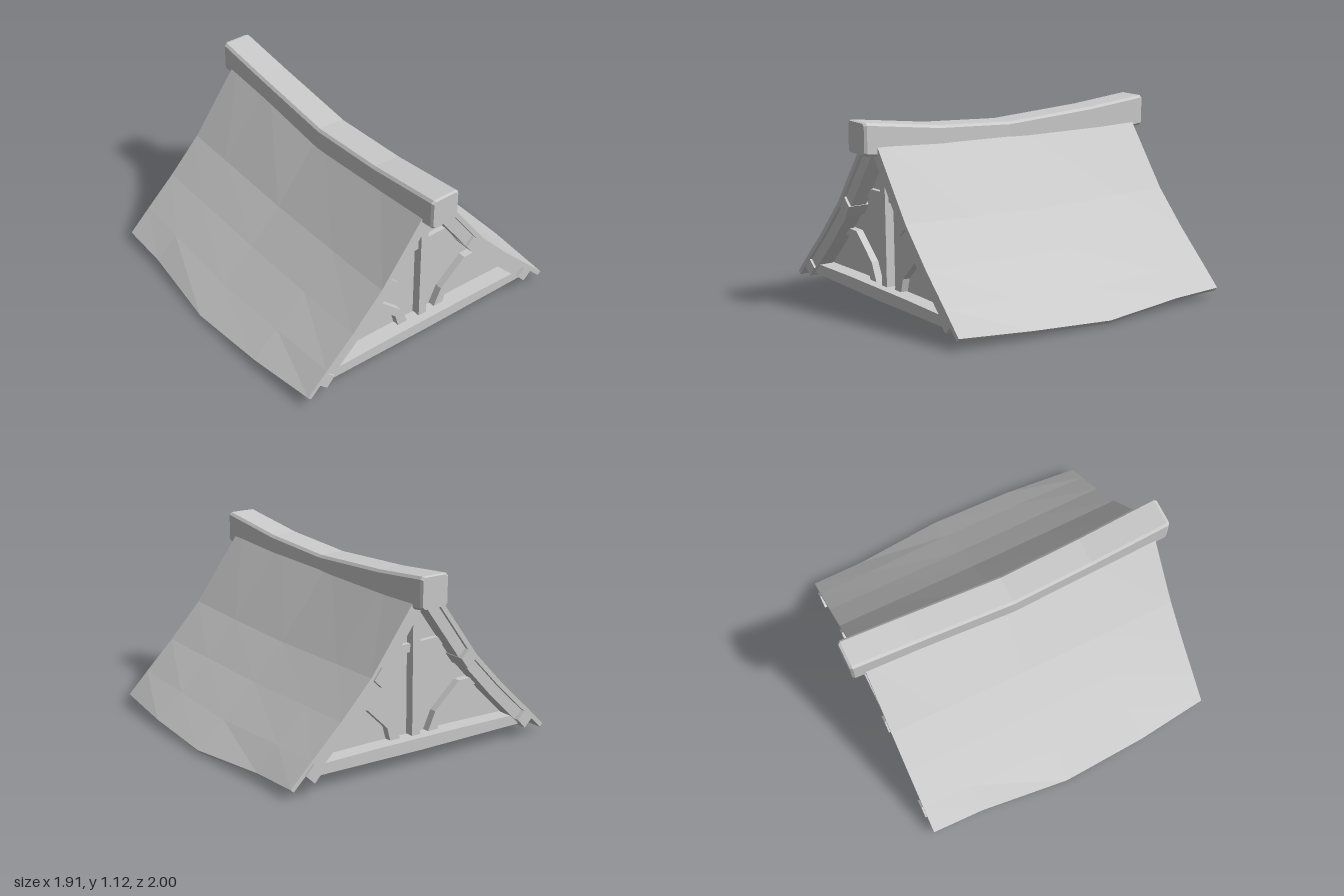
import * as THREE from 'three';

const grey = new THREE.MeshStandardMaterial({ color: 0xcccccc, flatShading: true });
grey.name = 'plain grey';

// Skin a list of { z, pts } outlines (z increasing) and cap both ends
function loft(name, sections) {
  const loops = sections.map(({ z, pts }) => {
    const v = pts.map(([x, y]) => new THREE.Vector2(x, y));
    if (THREE.ShapeUtils.isClockWise(v)) v.reverse();
    return { z, v };
  });
  const pos = [];
  const put = (loop, i) => pos.push(loop.v[i].x, loop.v[i].y, loop.z);
  const n = loops[0].v.length;
  for (let s = 0; s < loops.length - 1; s++) {
    const a = loops[s], b = loops[s + 1];
    for (let i = 0; i < n; i++) {
      const j = (i + 1) % n;
      put(a, i); put(a, j); put(b, j);
      put(a, i); put(b, j); put(b, i);
    }
  }
  const first = loops[0], last = loops[loops.length - 1];
  for (const [a, b, c] of THREE.ShapeUtils.triangulateShape(first.v, [])) {
    put(first, a); put(first, c); put(first, b);
  }
  for (const [a, b, c] of THREE.ShapeUtils.triangulateShape(last.v, [])) {
    put(last, a); put(last, b); put(last, c);
  }
  const geo = new THREE.BufferGeometry();
  geo.setAttribute('position', new THREE.Float32BufferAttribute(pos, 3));
  geo.computeVertexNormals();
  const mesh = new THREE.Mesh(geo, grey);
  mesh.name = name;
  return mesh;
}

// Straight prism of one outline between two depths
const prism = (name, pts, z0, z1) => loft(name, [{ z: z0, pts }, { z: z1, pts }]);
const mirrorX = (pts, side) => pts.map(([x, y]) => [x * side, y]);

// Shift a descending slope line inwards by d, stopping at the centre line
function inset(line, d) {
  return line.map((p, i) => {
    const a = line[Math.max(i - 1, 0)], b = line[Math.min(i + 1, line.length - 1)];
    const dx = b[0] - a[0], dy = b[1] - a[1], len = Math.hypot(dx, dy);
    const x = p[0] + (dy / len) * d, y = p[1] - (dx / len) * d;
    return x < 0 ? [0, y - (dy / dx) * x] : [x, y];
  });
}
const band = (line, d0, d1) => [...inset(line, d0), ...inset(line, d1).reverse()];

// Roof slope lines from ridge to eave, sagging towards the middle
const slopes = [
  { z: -0.92, line: [[0.03, 1.045], [0.37, 0.58], [0.57, 0.37], [0.76, 0.19], [0.895, 0.06]] },
  { z: -0.6, line: [[0.03, 1.03], [0.37, 0.575], [0.57, 0.367], [0.765, 0.185], [0.9, 0.05]] },
  { z: -0.05, line: [[0.03, 1.005], [0.37, 0.565], [0.57, 0.36], [0.78, 0.17], [0.955, 0.022]] },
  { z: 0.47, line: [[0.03, 1.025], [0.37, 0.575], [0.57, 0.367], [0.765, 0.19], [0.93, 0.047]] },
  { z: 0.92, line: [[0.03, 1.055], [0.37, 0.59], [0.57, 0.375], [0.75, 0.2], [0.88, 0.07]] },
];
const rafterLine = [[0.03, 1.05], [0.37, 0.585], [0.57, 0.372], [0.79, 0.158]];

// Ridge outlines: centre x and top y along the length
const ridgeStations = [
  [-1, 0.005, 1.11], [-0.985, 0.005, 1.115], [-0.6, 0, 1.075], [0, -0.018, 1.035],
  [0.5, -0.01, 1.06], [0.985, -0.005, 1.118], [1, -0.005, 1.113],
];
function ridgeOutline([z, cx, top], i) {
  const end = i === 0 || i === ridgeStations.length - 1;
  const w = end ? 0.084 : 0.094, b = top - (end ? 0.178 : 0.188), c = 0.015;
  return { z, pts: [
    [cx - w + c, b], [cx + w - c, b], [cx + w, b + c], [cx + w, top - c],
    [cx + w - c, top], [cx - w + c, top], [cx - w, top - c], [cx - w, b + c],
  ] };
}

// One timber gable; the front of it faces +z
function gable() {
  const g = new THREE.Group();
  for (const side of [1, -1]) {
    g.add(prism('rafter', mirrorX(band(rafterLine, 0.025, 0.097), side), 0.8, 0.9));
    g.add(prism('curvedBrace', mirrorX([
      [0.095, 0.14], [0.165, 0.14], [0.19, 0.23], [0.33, 0.365], [0.47, 0.37],
      [0.42, 0.415], [0.32, 0.412], [0.15, 0.26],
    ], side), 0.72, 0.83));
  }
  const inner = inset(rafterLine, 0.06);
  g.add(prism('gablePanel', [...inner, ...mirrorX(inner.slice(1), -1).reverse()]
    .map(([x, y]) => [x, Math.max(y, 0.12)]), 0.765, 0.785));
  g.add(prism('tieBeam', [
    [-0.74, 0.085], [0, 0.078], [0.74, 0.083], [0.7, 0.143], [0.3, 0.15], [-0.3, 0.152], [-0.7, 0.147],
  ], 0.79, 0.89));
  g.add(prism('kingPost', [[-0.022, 0.14], [0.033, 0.14], [0.022, 0.93], [-0.028, 0.93]], 0.71, 0.84));
  g.add(prism('collarBeam', [[-0.24, 0.635], [0.24, 0.645], [0.2, 0.695], [-0.2, 0.685]], 0.73, 0.815));
  return g;
}

export function createModel() {
  const model = new THREE.Group();
  model.name = 'timberRoof';

  model.add(loft('ridgeBeam', ridgeStations.map(ridgeOutline)));

  for (const side of [1, -1]) {
    // Thin roof shell
    model.add(loft('roofSlope', slopes.map(({ z, line }) => ({ z, pts: mirrorX(band(line, 0, 0.028), side) }))));
    // Purlins running the full length, ends showing past the rafters
    model.add(prism('upperPurlin', mirrorX([[0.25, 0.58], [0.3, 0.513], [0.355, 0.565], [0.305, 0.63]], side), -0.93, 0.915));
    model.add(prism('lowerPurlin', mirrorX([[0.69, 0.125], [0.745, 0.065], [0.803, 0.12], [0.75, 0.175]], side), -0.93, 0.915));
  }

  // Matching gables at both ends
  const front = gable();
  front.name = 'frontGable';
  const back = gable();
  back.name = 'backGable';
  back.rotation.y = Math.PI;
  model.add(front, back);
  return model;
}
